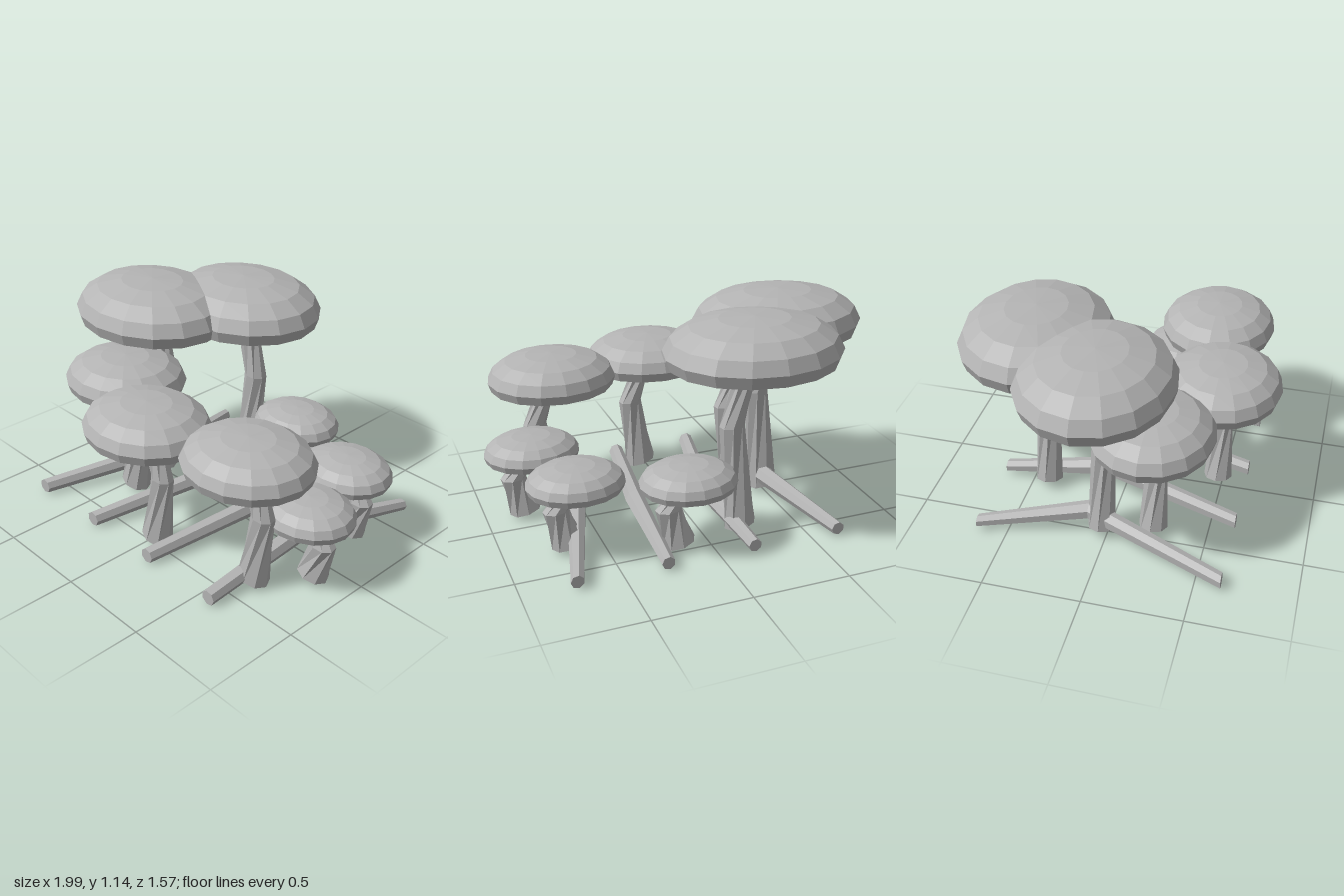
import * as THREE from 'three';

const grey = new THREE.MeshStandardMaterial({ color: 0xb4b4b4, flatShading: true });
grey.name = 'grey';

// Closed skin over a list of rings, with both ends filled
function loft(rings) {
  const pos = [];
  const tri = (...pts) => pts.forEach(p => pos.push(p.x, p.y, p.z));
  const n = rings[0].length;
  const centre = ring => ring.reduce((s, p) => s.add(p), new THREE.Vector3()).divideScalar(n);
  const first = rings[0], last = rings[rings.length - 1];
  const c0 = centre(first), c1 = centre(last);
  for (let i = 0; i < n; i++) {
    const j = (i + 1) % n;
    for (let k = 0; k + 1 < rings.length; k++) {
      const lo = rings[k], hi = rings[k + 1];
      tri(lo[i], lo[j], hi[j]);
      tri(lo[i], hi[j], hi[i]);
    }
    tri(c0, first[j], first[i]);
    tri(c1, last[i], last[j]);
  }
  const g = new THREE.BufferGeometry();
  g.setAttribute('position', new THREE.Float32BufferAttribute(pos, 3));
  g.computeVertexNormals();
  return g;
}

function ring(sides, place) {
  return Array.from({ length: sides }, (_, i) => place(i / sides * Math.PI * 2));
}

// Domed cap with a hollow underside, slightly narrower front to back
function capGeometry(r, depth, h) {
  const profile = [[0, 0.22], [0.9, 0.22], [0.95, 0], [1, 0.27], [0.92, 0.57], [0.72, 0.82], [0.4, 0.96], [0, 1]];
  const g = new THREE.LatheGeometry(profile.map(([x, y]) => new THREE.Vector2(x * r, y * h)), 16);
  return g.scale(1, 1, depth / r);
}

// Twisted, kinked stem: foot, knee and neck
function stemGeometry({ knee, base, foot, mid, neck }) {
  const levels = [
    [0.05, 0.045, foot, 0, 0.25],
    [0.105, knee, mid, 0.55, 0.1],
    [0.015, base + 0.05, neck, 1.1, 0],
  ];
  return loft(levels.map(([x, y, r, twist, tilt]) => ring(8, a => {
    const dx = Math.cos(a + twist) * r;
    return new THREE.Vector3(x + dx, y - dx * tilt, -Math.sin(a + twist) * r * 0.88);
  })));
}

const sizes = {
  large: { r: 0.45, depth: 0.382, base: 0.92, h: 0.23, knee: 0.6, foot: 0.083, mid: 0.064, neck: 0.062 },
  medium: { r: 0.34, depth: 0.307, base: 0.63, h: 0.18, knee: 0.42, foot: 0.085, mid: 0.062, neck: 0.056 },
  small: { r: 0.248, depth: 0.214, base: 0.34, h: 0.128, knee: 0.24, foot: 0.083, mid: 0.066, neck: 0.05 },
};

// Size, x and z of each mushroom
const mushrooms = [
  ['large', -0.55, -0.03], ['large', -0.245, -0.408],
  ['medium', -0.012, 0.475], ['medium', 0.565, 0.355], ['medium', -0.485, 0.225],
  ['small', 0.63, -0.292], ['small', 0.745, 0.125], ['small', 0.115, -0.475],
];

// Bent log lying front to back, given by x at its front, bend and back
function logGeometry(front, bend, back) {
  const stations = [[front, 0.044, 0.63, 0.04], [bend, 0.115, -0.1, 0.051], [back, 0.05, -0.655, 0.034]];
  return loft(stations.map(([x, y, z, r]) =>
    ring(7, a => new THREE.Vector3(x + Math.cos(a) * r, y - Math.sin(a) * r, z))));
}

export function createModel() {
  const model = new THREE.Group();
  model.name = 'mushroomCluster';
  const add = (parent, name, geometry) => {
    const mesh = new THREE.Mesh(geometry, grey);
    mesh.name = name;
    parent.add(mesh);
    return mesh;
  };

  for (const [size, x, z] of mushrooms) {
    const s = sizes[size];
    const mushroom = new THREE.Group();
    mushroom.name = size + 'Mushroom';
    mushroom.position.set(x, 0, z);
    add(mushroom, 'cap', capGeometry(s.r, s.depth, s.h)).position.y = s.base;
    add(mushroom, 'stem', stemGeometry(s));
    model.add(mushroom);
  }

  const logs = [[-0.74, -0.48, -0.63], [-0.305, -0.12, -0.17], [0.135, 0.265, 0.285], [0.585, 0.58, 0.735]];
  for (const xs of logs) add(model, 'log', logGeometry(...xs));
  return model;
}
